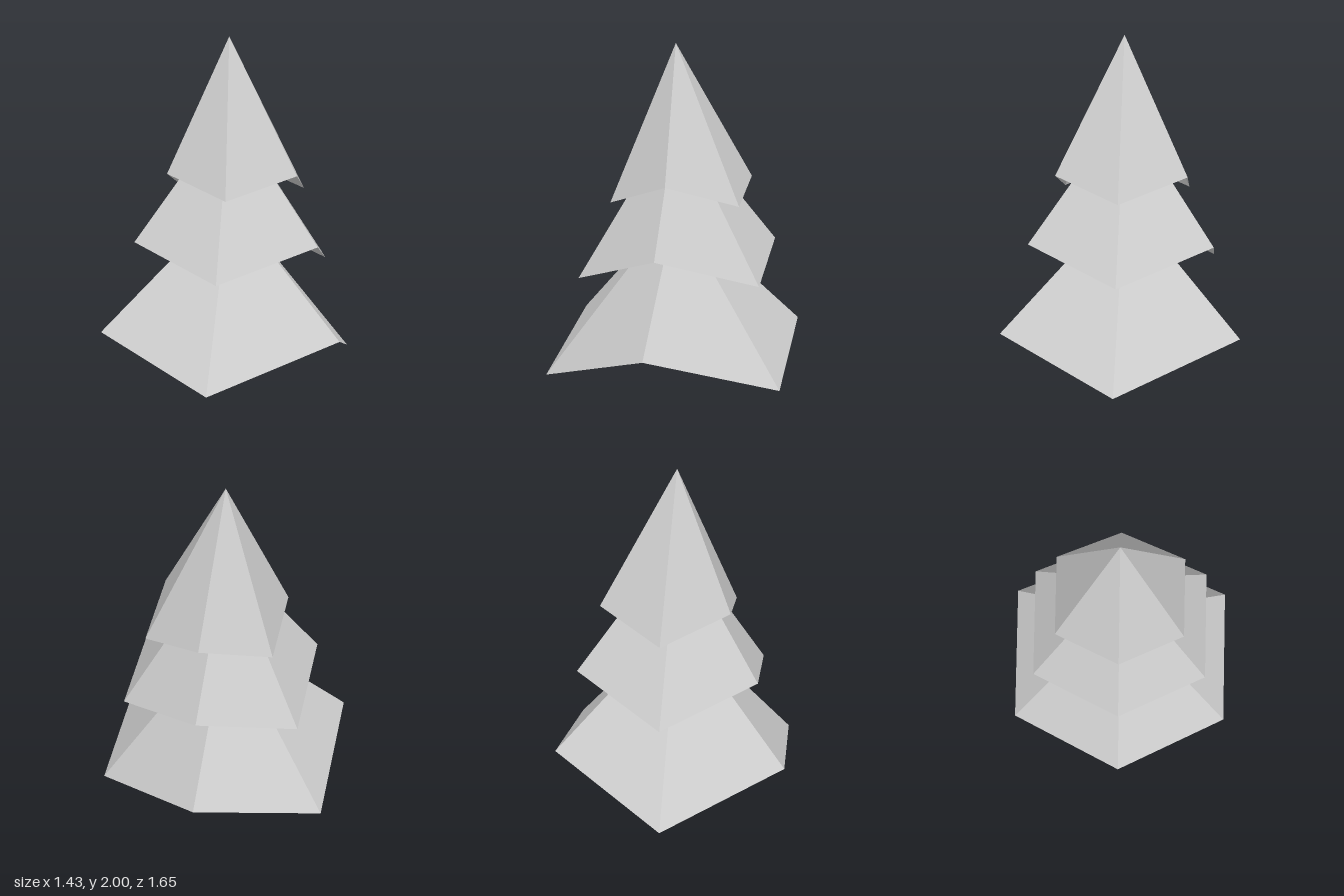
import * as THREE from 'three';

// Hollow six-sided branch tier: rim corners alternate low and high, all meeting at the apex.
function makeTier({ name, apex, radius, low, high, cx, cz }) {
  const rim = [];
  for (let i = 0; i < 6; i++) {
    const a = (i * Math.PI) / 3;
    rim.push([cx + radius * Math.sin(a), i % 2 ? high : low, cz + radius * Math.cos(a)]);
  }
  const positions = [];
  rim.forEach((corner, i) => positions.push(...corner, ...rim[(i + 1) % 6], 0, apex, 0));

  const geometry = new THREE.BufferGeometry();
  geometry.setAttribute('position', new THREE.Float32BufferAttribute(positions, 3));
  geometry.computeVertexNormals();
  const material = new THREE.MeshStandardMaterial({
    color: 0xcccccc, flatShading: true, side: THREE.DoubleSide,
  });
  const mesh = new THREE.Mesh(geometry, material);
  mesh.name = name;
  return mesh;
}

export function createModel() {
  const tree = new THREE.Group();
  tree.name = 'tree';
  // Upper tiers have slightly off-centre rims, so the tree looks hand-cut
  const tiers = [
    { name: 'bottomTier', apex: 1.0, radius: 0.826, low: 0, high: 0.24, cx: 0, cz: 0 },
    { name: 'middleTier', apex: 1.56, radius: 0.637, low: 0.593, high: 0.775, cx: 0.022, cz: -0.015 },
    { name: 'topTier', apex: 2, radius: 0.454, low: 1.05, high: 1.18, cx: 0.045, cz: -0.028 },
  ];
  tiers.forEach((tier) => tree.add(makeTier(tier)));
  return tree;
}
